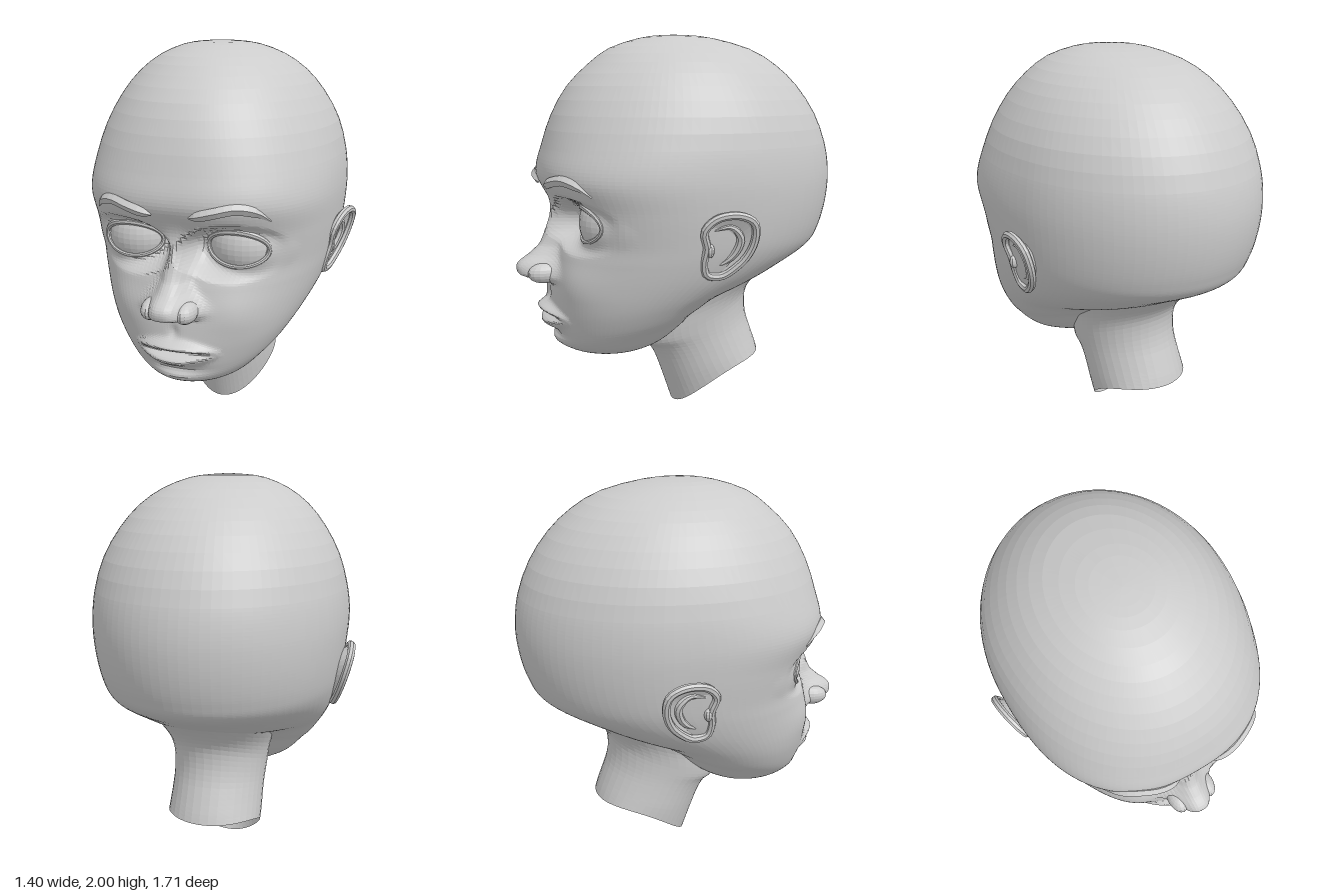
import * as THREE from 'three';

const { smoothstep, clamp, lerp } = THREE.MathUtils;
const skin = new THREE.MeshStandardMaterial({ color: 0xcccccc, flatShading: true, side: THREE.DoubleSide });
const bell = (v, s) => Math.exp(-((v / s) ** 2));
const V = (x, y, z) => new THREE.Vector3(x, y, z);

// Sections: front y, front z, back y, back z, half width, z of widest point
// Head, from crown to the underside of the jaw
const HEAD = [
  [2.0, 0, 2.0, 0, 0, 0],
  [1.995, 0.09, 1.995, -0.1, 0.09, 0],
  [1.98, 0.19, 1.98, -0.22, 0.19, -0.01],
  [1.93, 0.34, 1.93, -0.41, 0.31, -0.03],
  [1.85, 0.45, 1.85, -0.55, 0.42, -0.05],
  [1.74, 0.56, 1.74, -0.67, 0.51, -0.07],
  [1.6, 0.64, 1.6, -0.768, 0.585, -0.09],
  [1.45, 0.69, 1.45, -0.83, 0.625, -0.1],
  [1.3, 0.72, 1.3, -0.857, 0.64, -0.1],
  [1.15, 0.655, 1.15, -0.85, 0.632, -0.1],
  [1.0, 0.64, 1.01, -0.815, 0.612, -0.08],
  [0.9, 0.66, 0.92, -0.76, 0.59, -0.03],
  [0.8, 0.68, 0.83, -0.6, 0.557, 0.04],
  [0.7, 0.69, 0.76, -0.47, 0.515, 0.12],
  [0.6, 0.69, 0.72, -0.37, 0.472, 0.17],
  [0.5, 0.67, 0.67, -0.26, 0.42, 0.2],
  [0.43, 0.64, 0.62, -0.16, 0.366, 0.22],
  [0.38, 0.57, 0.54, -0.07, 0.305, 0.24],
  [0.355, 0.46, 0.48, 0, 0.24, 0.23],
  [0.35, 0.32, 0.42, 0.06, 0.13, 0.2],
  [0.36, 0.2, 0.36, 0.2, 0, 0.2],
];

// Neck, from inside the skull to the open lower edge
const NECK = [
  [0.6, 0.2, 0.83, -0.58, 0.3, -0.18],
  [0.5, 0.2, 0.74, -0.48, 0.265, -0.14],
  [0.42, 0.2, 0.66, -0.422, 0.25, -0.12],
  [0.365, 0.19, 0.57, -0.408, 0.243, -0.13],
  [0.335, 0.145, 0.48, -0.42, 0.24, -0.15],
  [0.27, 0.105, 0.39, -0.45, 0.241, -0.18],
  [0.15, 0.06, 0.32, -0.475, 0.244, -0.21],
  [0, 0.01, 0.27, -0.49, 0.245, -0.24],
];

// Nose ridge: y, height above the face, half width
const NOSE = [
  [1.22, 0, 0.06], [1.13, 0.018, 0.055], [1.05, 0.05, 0.055], [0.945, 0.085, 0.06], [0.9, 0.125, 0.075],
  [0.86, 0.172, 0.095], [0.825, 0.175, 0.11], [0.795, 0.15, 0.115], [0.77, 0.06, 0.11], [0.75, 0, 0.1],
];

const EYE = { x: 0.265, y: 1.085, z: 0.4, r: 0.18, w: 0.15, h: 0.085 };
function eyeSurface(dx, dy) {
  const q = EYE.r ** 2 - dx * dx - dy * dy;
  return EYE.z + Math.sqrt((q + Math.hypot(q, 0.012)) / 2 + 0.001);
}

function spline(rows, i, f, c) {
  const at = (k) => rows[clamp(k, 0, rows.length - 1)][c];
  const [a, b, d, e] = [at(i - 1), at(i), at(i + 1), at(i + 2)];
  return 0.5 * (2 * b + (d - a) * f + (2 * a - 5 * b + 4 * d - e) * f * f + (3 * b - a - 3 * d + e) * f ** 3);
}

function noseAt(y, c) {
  for (let i = 0; i < NOSE.length - 1; i++) {
    const [hi, lo] = [NOSE[i], NOSE[i + 1]];
    if (y <= hi[0] && y >= lo[0]) return spline(NOSE, i, (hi[0] - y) / (hi[0] - lo[0]), c);
  }
  return 0;
}

// Eye sockets, cheeks, nose, lips and chin shaped on the front of the head
function sculptFace(p) {
  if (p.z < 0.2) return p;
  const { y } = p;
  const x = Math.abs(p.x);
  const [dx, dy] = [x - EYE.x, y - EYE.y];
  const d = Math.hypot(dx / EYE.w, dy / EYE.h);
  const socket = 1 - smoothstep(d, 0.95, 1.78 - 0.12 * clamp(dy / 0.08, -1, 1));
  p.z = lerp(p.z, eyeSurface(dx, dy) - 0.045 * (1 - smoothstep(d, 0.8, 0.98)), socket);
  p.z += 0.025 * bell(x - 0.3, 0.13) * bell(y - 0.78, 0.13);
  const width = noseAt(y, 2);
  if (width > 0) p.z += Math.max(0, noseAt(y, 1)) * Math.exp(-((x / width) ** 3));
  // Lips thin out and meet at the corners
  const a = Math.max(0, 1 - (x / 0.22) ** 2);
  const thin = 0.6 + 0.4 * a;
  p.z += a * 0.055 * bell(y - 0.585 - 0.036 * a, 0.026 * thin);
  p.z += a * 0.048 * bell(y - 0.585 + 0.042 * a, 0.032 * thin);
  p.z -= a * 0.026 * bell(y - 0.585, 0.014);
  p.z -= 0.018 * bell(y - 0.485, 0.025) * bell(x, 0.12);
  p.z += 0.02 * bell(y - 0.43, 0.04) * bell(x, 0.14);
  p.z -= 0.012 * bell(x, 0.025) * bell(y - 0.69, 0.035);
  return p;
}

// Skin over closed rings of points
function loft(rings) {
  const n = rings[0].length;
  const index = [];
  for (let i = 0; i < rings.length - 1; i++) {
    for (let j = 0; j < n; j++) {
      const [a, d] = [i * n + j, i * n + ((j + 1) % n)];
      index.push(a, a + n, d + n, a, d + n, d);
    }
  }
  const g = new THREE.BufferGeometry().setFromPoints(rings.flat());
  g.setIndex(index);
  g.computeVertexNormals();
  return g;
}

// Rounded body through a table of sections; style gives the front and back
// roundness and how far the ring bends as it falls from front to back
function sectionBody(rows, columns, stepsAt, style, shape) {
  const rings = [];
  const addRing = (i, f) => {
    const [yF, zF, yB, zB, w, zc] = [0, 1, 2, 3, 4, 5].map((c) => spline(rows, i, f, c));
    const [nFront, nBack, bend] = style(yF);
    const ring = [];
    for (let j = 0; j < columns; j++) {
      const s = -1 + (2 * j) / columns;
      const angle = Math.PI * Math.sign(s) * Math.abs(s) ** 1.4;
      const [sn, cs] = [Math.sin(angle), Math.cos(angle)];
      const e = 2 / (cs > 0 ? nFront : nBack);
      const x = w * Math.sign(sn) * Math.abs(sn) ** e;
      const z = zc + (cs > 0 ? zF - zc : zc - zB) * Math.sign(cs) * Math.abs(cs) ** e;
      const t = zF - zB > 1e-4 ? clamp((zF - z) / (zF - zB), 0, 1) : 0;
      ring.push(shape(V(x, lerp(yF, yB, 1 - (1 - t) ** bend), z)));
    }
    rings.push(ring);
  };
  for (let i = 0; i < rows.length - 1; i++) {
    for (let k = 0; k < stepsAt(i); k++) addRing(i, k / stepsAt(i));
  }
  addRing(rows.length - 2, 1);
  return loft(rings);
}

// Tube whose radius follows a rule along its length
function taperedTube(points, closed, steps, sides, radius) {
  const curve = new THREE.CatmullRomCurve3(points, closed);
  const g = new THREE.TubeGeometry(curve, steps, 1, sides, closed);
  const pos = g.attributes.position;
  const v = V(0, 0, 0);
  for (let i = 0; i < pos.count; i++) {
    const t = Math.floor(i / (sides + 1)) / steps;
    const c = curve.getPointAt(t);
    v.fromBufferAttribute(pos, i).sub(c).multiplyScalar(radius(t)).add(c);
    pos.setXYZ(i, v.x, v.y, v.z);
  }
  g.computeVertexNormals();
  return g;
}

const ellipsoid = (x, y, z, rx, ry, rz, detail = 16) =>
  new THREE.SphereGeometry(1, detail, Math.round(detail * 0.7)).scale(rx, ry, rz).translate(x, y, z);

// Ear plane leans outward to the top and back
const earPoint = (z, y, out = 0) => V(0.575 + 0.27 * (y - 0.84) - 0.2 * z + out, y, z);
const EAR = [[0.06, 1.0], [0.08, 1.08], [0.03, 1.14], [-0.07, 1.155], [-0.145, 1.12], [-0.162, 1.04],
  [-0.135, 0.95], [-0.085, 0.89], [-0.025, 0.85], [0.045, 0.86], [0.065, 0.92]];

function earShell() {
  const outline = new THREE.CatmullRomCurve3(EAR.map(([z, y]) => V(0, y, z)), true).getPoints(32).slice(0, 32);
  const layers = [[0.55, -0.1], [0.85, -0.035], [1, 0], [0.85, -0.012], [0.6, -0.022], [0.3, -0.03], [0, -0.03]];
  return loft(layers.map(([s, out]) => outline.map((p) => earPoint(lerp(-0.04, p.z, s), lerp(1.0, p.y, s), out))));
}

export function createModel() {
  const model = new THREE.Group();
  model.name = 'head';
  const add = (name, geometry) => {
    const mesh = new THREE.Mesh(geometry, skin);
    mesh.name = name;
    model.add(mesh);
  };
  const addPair = (name, geometry) => {
    add(name + 'Left', geometry);
    const other = geometry.clone().scale(-1, 1, 1);
    other.setIndex(Array.from(geometry.index.array).reverse());
    other.computeVertexNormals();
    add(name + 'Right', other);
  };

  add('skullAndFace', sectionBody(HEAD, 120, (i) => (i < 7 ? 2 : i < 13 ? 9 : i < 15 ? 14 : 5),
    (y) => [2 + 0.5 * bell(y - 1.2, 0.35), 2 - 0.4 * bell(y - 0.54, 0.16), 1], sculptFace));
  add('neck', sectionBody(NECK, 48, () => 3, (y) => [2, 2, 1 + 1.6 * clamp((0.34 - y) / 0.34, 0, 1)], (p) => p));

  // Eyes and lids
  addPair('eyeball', ellipsoid(EYE.x, EYE.y, EYE.z, EYE.r * 0.99, EYE.r * 0.99, EYE.r, 32));
  const lid = [];
  for (let i = 0; i < 24; i++) {
    const a = (i / 24) * Math.PI * 2;
    const [dx, dy] = [EYE.w * Math.cos(a), EYE.h * Math.sin(a)];
    lid.push(V(EYE.x + dx, EYE.y + dy, eyeSurface(dx, dy) - 0.005));
  }
  addPair('eyelid', taperedTube(lid, true, 48, 8, (t) => 0.011 + 0.006 * Math.max(0, Math.sin(t * Math.PI * 2))));

  // Eyebrows
  const brow = [V(0.09, 1.255, 0.705), V(0.2, 1.285, 0.7), V(0.3, 1.303, 0.662), V(0.38, 1.28, 0.61), V(0.43, 1.235, 0.56)];
  addPair('eyebrow', taperedTube(brow, false, 12, 5, (t) => 0.026 * Math.min(1, 0.15 + t * 8, 0.15 + (1 - t) * 3)));

  // Nose wings
  addPair('noseWing', ellipsoid(0.085, 0.815, 0.725, 0.05, 0.052, 0.085));

  // Ears
  addPair('earShell', earShell());
  addPair('earRim', taperedTube(EAR.map(([z, y]) => earPoint(z, y)), true, 40, 8, () => 0.02));
  const fold = [[0.03, 1.08], [-0.05, 1.095], [-0.1, 1.04], [-0.08, 0.96], [-0.02, 0.91], [0.03, 0.91]];
  addPair('earFold', taperedTube(fold.map(([z, y]) => earPoint(z, y, -0.016)), false, 20, 7,
    (t) => 0.004 + 0.016 * Math.sin(Math.PI * t)));
  addPair('earTragus', ellipsoid(0.605, 0.985, 0.045, 0.025, 0.035, 0.022, 10));

  return model;
}
